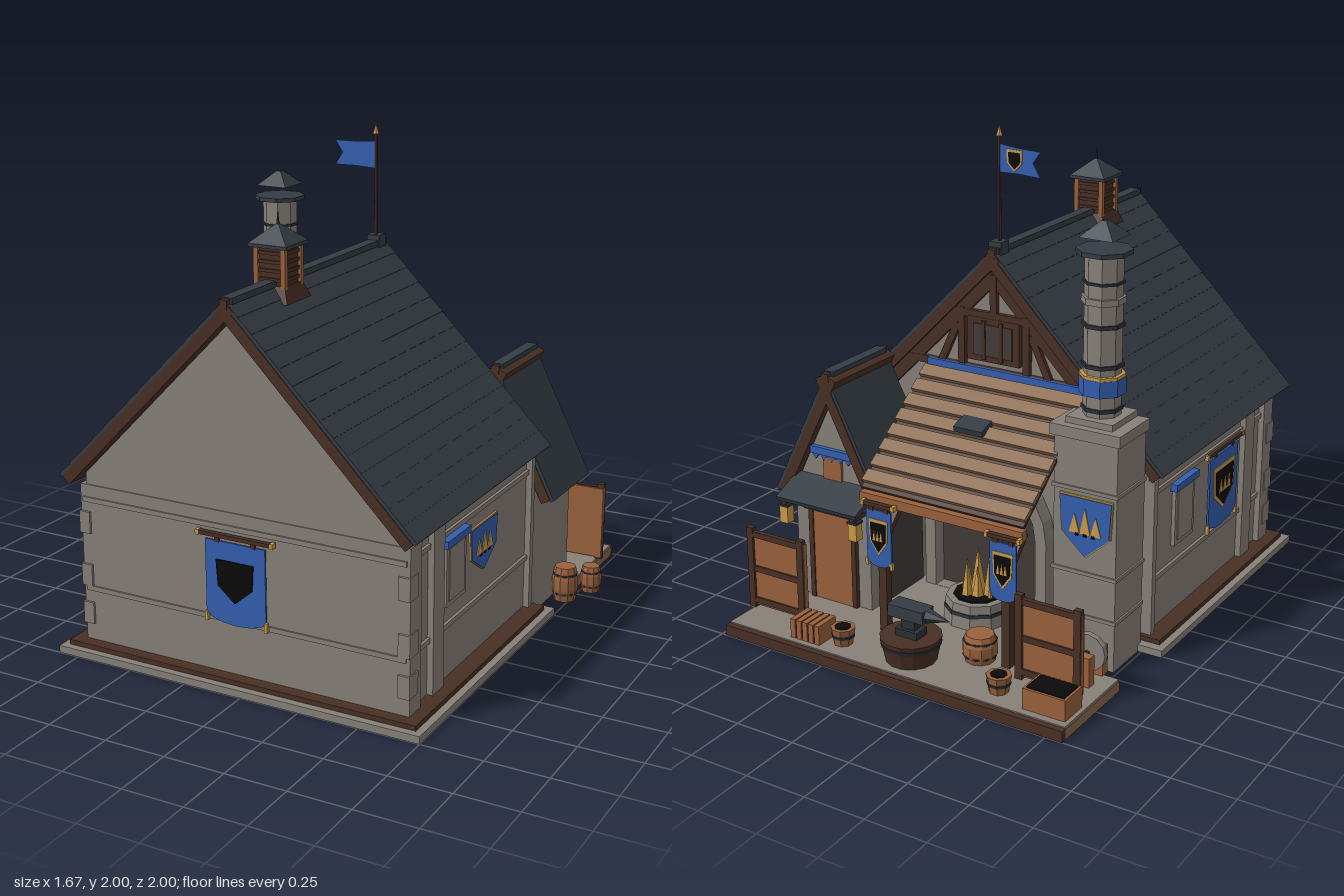
import * as THREE from 'three';

const mat = (name, hex) => { const m = new THREE.MeshStandardMaterial({ color: hex }); m.name = name; return m; };
const M = {
  stone: mat('stone', 0x878079), slate: mat('slate', 0x343c43), timber: mat('dark timber', 0x482f24),
  wood: mat('orange wood', 0x99613c), plank: mat('plank', 0x8a694c), blue: mat('blue cloth', 0x335eae),
  gold: mat('gold', 0xc99a48), black: mat('black', 0x0a0a0b), iron: mat('iron', 0x2b3036), recess: mat('sooty stone', 0x413b38),
};

// Faceted mesh with a name and a transform
function add(parent, name, geo, m, x = 0, y = 0, z = 0, rx = 0, ry = 0, rz = 0) {
  const g = geo.index ? geo.toNonIndexed() : geo;
  g.computeVertexNormals();
  const mesh = new THREE.Mesh(g, m);
  mesh.name = name;
  mesh.position.set(x, y, z);
  mesh.rotation.set(rx, ry, rz);
  parent.add(mesh);
  return mesh;
}
const box = (p, name, m, [x0, x1], [y0, y1], [z0, z1]) =>
  add(p, name, new THREE.BoxGeometry(x1 - x0, y1 - y0, z1 - z0), m, (x0 + x1) / 2, (y0 + y1) / 2, (z0 + z1) / 2);
const cyl = (p, name, m, r0, r1, y0, y1, x, z, n = 8) =>
  add(p, name, new THREE.CylinderGeometry(r1, r0, y1 - y0, n), m, x, (y0 + y1) / 2, z, 0, Math.PI / n);
const shapeOf = pts => new THREE.Shape(pts.map(p => new THREE.Vector2(...p)));
const plate = (p, name, m, pts, depth, x = 0, y = 0, z = 0) =>
  add(p, name, new THREE.ExtrudeGeometry(shapeOf(pts), { depth, bevelEnabled: false }), m, x, y, z);
function sub(parent, name, x = 0, y = 0, z = 0, ry = 0) {
  const g = new THREE.Group();
  g.name = name; g.position.set(x, y, z); g.rotation.y = ry;
  parent.add(g);
  return g;
}
// Beam between two points of an upright plane at depth z
function strut(p, name, m, x0, y0, x1, y1, z, w = 0.03, d = 0.02) {
  add(p, name, new THREE.BoxGeometry(Math.hypot(x1 - x0, y1 - y0), w, d), m, (x0 + x1) / 2, (y0 + y1) / 2, z, 0, 0, Math.atan2(y1 - y0, x1 - x0));
}

// Pitched roof: timber deck with thin overlapping slate rows on both slopes
function gableRoof(root, name, cx, ridgeY, half, drop, z0, z1, rows) {
  const len = Math.abs(z1 - z0), L = Math.hypot(half, drop), roof = sub(root, name, cx, ridgeY, (z0 + z1) / 2);
  for (const ry of [0, Math.PI]) {
    const side = sub(roof, 'roofSide', 0, 0, 0, ry);
    const slope = sub(side, 'slope');
    slope.rotation.z = -Math.atan2(drop, half);
    box(slope, 'roofDeck', M.timber, [0, L - 0.005], [-0.055, -0.012], [-len / 2, len / 2]);
    for (let i = 0; i < rows; i++)
      add(slope, 'slateRow', new THREE.BoxGeometry(L / rows * 1.04, 0.016, len - 0.006), M.slate, (i + 0.5) * L / rows, -0.006, 0, 0, 0, 0.03);
  }
  box(roof, 'ridgeBeam', M.timber, [-0.016, 0.016], [-0.03, 0.004], [-len / 2 - 0.003, len / 2 + 0.003]);
  box(roof, 'ridgeCap', M.slate, [-0.024, 0.024], [-0.016, 0.008], [-len / 2 + 0.02, len / 2 - 0.02]);
}

const shieldPts = (w, h) => [[-w / 2, h / 2], [-w * 0.46, -h * 0.12], [0, -h / 2], [w * 0.46, -h * 0.12], [w / 2, h / 2]];
function shield(root, x, y, z, ry, w, h) {
  const g = sub(root, 'wallShield', x, y, z, ry);
  plate(g, 'shieldTrim', M.gold, shieldPts(w, h), 0.008);
  plate(g, 'shieldFace', M.blue, shieldPts(w * 0.96, h * 0.95), 0.012);
  for (const [px, s] of [[-0.2, 0.75], [0, 1], [0.2, 0.75]])
    plate(g, 'shieldPeak', M.gold, [[-w * 0.1, 0], [w * 0.1, 0], [0, h * 0.42 * s]], 0.004, px * w, -h * 0.1, 0.012);
  for (const px of [-0.15, 0, 0.15]) box(g, 'shieldStud', M.black, [px * w - 0.007, px * w + 0.007], [-h * 0.14, -h * 0.09], [0.01, 0.017]);
}
// Hanging banner, local origin at the middle of its top edge
function banner(root, x, y, z, ry, w, h, goldTrim) {
  const g = sub(root, 'banner', x, y, z, ry), pts = [[w / 2, 0], [-w / 2, 0]];
  for (let i = 0; i <= 6; i++) { const a = Math.PI * i / 6; pts.push([-Math.cos(a) * w / 2, -h * 0.87 - Math.sin(a) * h * 0.13]); }
  plate(g, 'bannerCloth', M.blue, pts, 0.008);
  if (goldTrim) plate(g, 'emblemTrim', M.gold, shieldPts(w * 0.76, h * 0.62), 0.003, 0, -h * 0.47, 0.008);
  plate(g, 'emblem', M.black, shieldPts(w * 0.62, h * 0.5), 0.007, 0, -h * 0.47, 0.008);
  if (goldTrim) for (const s of [-0.14, 0, 0.14]) plate(g, 'emblemPeak', M.gold, [[-w * 0.06, 0], [w * 0.06, 0], [0, h * 0.18]], 0.003, s * w, -h * 0.52, 0.015);
  box(g, 'bannerRod', M.timber, [-w * 0.6, w * 0.6], [0.015, 0.03], [-0.005, 0.015]);
  for (const s of [-1, 1]) {
    box(g, 'rodEnd', M.gold, [s * w * 0.62 - 0.007, s * w * 0.62 + 0.007], [0.012, 0.033], [-0.007, 0.017]);
    box(g, 'tassel', M.gold, [s * w / 2 - 0.006, s * w / 2 + 0.006], [-h, -h * 0.88], [-0.002, 0.012]);
    box(g, 'bannerLoop', M.timber, [s * w * 0.3 - 0.01, s * w * 0.3 + 0.01], [-0.005, 0.03], [-0.001, 0.01]);
  }
}
function barrel(root, x, y, z, r, h) {
  const g = sub(root, 'barrel', x, y, z);
  add(g, 'staves', new THREE.LatheGeometry([[0, 0], [0.84, 0], [1, 0.35], [1, 0.65], [0.8, 1], [0, 1]].map(([a, b]) => new THREE.Vector2(a * r, b * h)), 10), M.wood);
  for (const t of [0.2, 0.75]) cyl(g, 'hoop', M.iron, r * 0.97, r * 0.97, h * t, h * (t + 0.06), 0, 0, 10);
}
function bucket(root, x, z) {
  cyl(root, 'bucket', M.wood, 0.038, 0.05, 0.05, 0.12, x, z);
  cyl(root, 'bucketHoop', M.iron, 0.046, 0.048, 0.08, 0.092, x, z);
  cyl(root, 'bucketInside', M.black, 0.033, 0.033, 0.118, 0.123, x, z);
}
function screen(root, x0, x1, z) {
  box(root, 'screenPanel', M.wood, [x0, x1], [0.06, 0.38], [z - 0.008, z + 0.012]);
  for (const x of [x0, x1 - 0.03]) box(root, 'screenPost', M.timber, [x, x + 0.03], [0.05, 0.4], [z - 0.018, z + 0.006]);
  for (const y of [0.07, 0.21, 0.36]) box(root, 'screenRail', M.timber, [x0, x1], [y, y + 0.025], [z - 0.016, z + 0.004]);
}
function sideWindow(root, x, z) {
  box(root, 'windowNiche', M.stone, [x - 0.014, x + 0.014], [0.35, 0.6], [z - 0.085, z + 0.085]);
  box(root, 'windowPanel', M.stone, [x - 0.018, x + 0.018], [0.37, 0.58], [z - 0.065, z + 0.065]);
  box(root, 'windowLintel', M.blue, [x - 0.027, x + 0.027], [0.59, 0.62], [z - 0.1, z + 0.1]);
}
// Outline of a round-headed opening
function arch(r, foot, spring) {
  const p = [[r, foot]];
  for (let i = 0; i <= 10; i++) p.push([r * Math.cos(Math.PI * i / 10), spring + r * Math.sin(Math.PI * i / 10)]);
  return [...p, [-r, foot]];
}

export function createModel() {
  const root = new THREE.Group();
  root.name = 'smithy';
  const C = -0.045;

  // Plinth, main walls with gables, string courses, pilasters and quoins
  box(root, 'plinth', M.stone, [-0.84, 0.75], [0, 0.03], [-0.26, 1]);
  box(root, 'sill', M.timber, [-0.81, 0.72], [0.03, 0.05], [-0.22, 0.97]);
  plate(root, 'mainWalls', M.stone, [[-0.735, 0.04], [0.645, 0.04], [0.645, 0.75], [C, 1.445], [-0.735, 0.75]], 1.115, 0, 0, -0.2);
  for (const y of [0.26, 0.63]) box(root, 'stringCourse', M.stone, [-0.747, 0.657], [y, y + 0.02], [-0.17, 0.927]);
  for (const [z0, z1] of [[0.83, 0.92], [0.64, 0.73], [-0.2, -0.17]])
    box(root, 'pilasters', M.stone, [-0.76, 0.67], [0.05, 0.7], [z0, z1]);
  for (const x of [-0.74, 0.65]) for (const y of [0.12, 0.28, 0.5])
    box(root, 'quoin', M.stone, [x - 0.024, x + 0.024], [y, y + 0.09], [0.86, 0.93]);

  // Main roof, louvred ridge turret and flagpole
  gableRoof(root, 'mainRoof', C, 1.522, 0.765, 0.775, -0.235, 0.98, 14);
  const t = sub(root, 'ridgeTurret', C, 0, 0.6);
  add(t, 'turretSkirt', new THREE.CylinderGeometry(0.09, 0.125, 0.06, 4, 1, false, Math.PI / 4), M.timber, 0, 1.48, 0);
  box(t, 'turretBody', M.timber, [-0.055, 0.055], [1.45, 1.66], [-0.055, 0.055]);
  for (const x of [-0.058, 0.058]) for (const z of [-0.058, 0.058]) box(t, 'turretPost', M.wood, [x - 0.01, x + 0.01], [1.5, 1.66], [z - 0.01, z + 0.01]);
  for (let i = 0; i < 4; i++) box(t, 'louvre', M.timber, [-0.062, 0.062], [1.525 + i * 0.033, 1.538 + i * 0.033], [-0.062, 0.062]);
  box(t, 'turretEave', M.slate, [-0.083, 0.083], [1.652, 1.665], [-0.083, 0.083]);
  add(t, 'turretRoof', new THREE.ConeGeometry(0.115, 0.07, 4, 1, false, Math.PI / 4), M.slate, 0, 1.7, 0);
  cyl(t, 'turretFinial', M.iron, 0.008, 0.001, 1.715, 1.785, 0, 0, 6);
  box(root, 'poleFoot', M.slate, [C - 0.028, C + 0.028], [1.5, 1.55], [-0.205, -0.145]);
  cyl(root, 'flagPole', M.timber, 0.008, 0.007, 1.5, 1.97, C, -0.17, 6);
  cyl(root, 'poleTip', M.gold, 0.014, 0.001, 1.96, 2, C, -0.17, 6);
  const flag = sub(root, 'flag', C, 1.82, -0.17, -0.09);
  plate(flag, 'flagCloth', M.blue, [[0, 0], [0, 0.11], [-0.1, 0.102], [-0.195, 0.1], [-0.16, 0.052], [-0.195, 0], [-0.1, 0.003]], 0.006, 0, 0, -0.003);
  plate(flag, 'flagEmblemTrim', M.gold, shieldPts(0.075, 0.085), 0.003, -0.075, 0.052, -0.006);
  plate(flag, 'flagEmblem', M.black, shieldPts(0.056, 0.064), 0.003, -0.075, 0.052, -0.008);

  // Half-timbered rear gable with shutter
  for (const s of [-1, 1]) {
    strut(root, 'gableRafter', M.timber, C, 1.41, C + s * 0.6, 0.8, -0.208, 0.05);
    strut(root, 'gableBrace', M.timber, C + s * 0.3, 0.92, C + s * 0.17, 1.2, -0.208);
    strut(root, 'gablePost', M.timber, C + s * 0.15, 0.9, C + s * 0.15, 1.27, -0.21);
  }
  strut(root, 'collarBeam', M.timber, -0.24, 1.25, 0.15, 1.25, -0.21);
  strut(root, 'tieBeam', M.timber, -0.45, 1.02, 0.36, 1.02, -0.21);
  strut(root, 'kingPost', M.timber, C, 1.25, C, 1.42, -0.21);
  box(root, 'shutterFrame', M.timber, [C - 0.12, C + 0.12], [1.06, 1.24], [-0.222, -0.2]);
  box(root, 'shutterOpening', M.recess, [C - 0.09, C + 0.09], [1.085, 1.215], [-0.227, -0.2]);
  for (const x of [-0.04, 0.04]) box(root, 'shutterBar', M.timber, [C + x - 0.008, C + x + 0.008], [1.07, 1.23], [-0.231, -0.21]);

  // Side windows, shields and banners
  sideWindow(root, 0.647, 0.52);
  sideWindow(root, -0.737, 0.09);
  shield(root, 0.655, 0.485, 0.28, Math.PI / 2, 0.25, 0.2);
  banner(root, C, 0.59, 0.935, 0, 0.26, 0.33, false);
  banner(root, -0.745, 0.61, 0.45, -Math.PI / 2, 0.27, 0.33, true);

  // Annex with its own gable, door and awning
  const A = 0.47;
  plate(root, 'annexWalls', M.stone, [[0.3, 0], [0.665, 0], [0.665, 0.52], [A, 0.92], [0.3, 0.56]], 0.42, 0, 0, -0.6);
  gableRoof(root, 'annexRoof', A, 1.042, 0.268, 0.535, -0.635, -0.235, 8);
  box(root, 'annexDoor', M.wood, [0.38, 0.57], [0.05, 0.44], [-0.615, -0.59]);
  for (const x of [0.36, 0.57]) box(root, 'doorPost', M.timber, [x, x + 0.022], [0.05, 0.46], [-0.62, -0.59]);
  box(root, 'doorLintel', M.timber, [0.34, 0.61], [0.44, 0.47], [-0.625, -0.59]);
  add(root, 'awning', new THREE.BoxGeometry(0.39, 0.02, 0.16), M.slate, 0.455, 0.55, -0.672, -0.4);
  for (const x of [0.29, 0.63]) {
    box(root, 'awningBracket', M.timber, [x - 0.01, x + 0.01], [0.49, 0.51], [-0.73, -0.6]);
    box(root, 'lantern', M.gold, [x - 0.02, x + 0.02], [0.41, 0.48], [-0.73, -0.69]);
    box(root, 'lanternCap', M.iron, [x - 0.023, x + 0.023], [0.48, 0.49], [-0.733, -0.687]);
  }
  box(root, 'gableTrim', M.blue, [0.37, 0.57], [0.69, 0.72], [-0.62, -0.6]);
  for (let i = 0; i < 5; i++) plate(root, 'trimPennant', M.blue, [[-0.02, 0], [0, -0.025], [0.02, 0]], 0.008, 0.39 + i * 0.04, 0.69, -0.612);
  box(root, 'gableWindow', M.wood, [0.425, 0.515], [0.57, 0.68], [-0.61, -0.59]);

  // Chimney: stepped base, octagonal shaft, rings and cowl
  box(root, 'chimneyBase', M.stone, [-0.735, -0.465], [0, 0.93], [-0.46, -0.237]);
  for (const y of [0.2, 0.38, 0.72]) box(root, 'chimneyCourse', M.stone, [-0.742, -0.458], [y, y + 0.015], [-0.467, -0.237]);
  box(root, 'chimneyShoulder', M.stone, [-0.75, -0.45], [0.93, 0.975], [-0.475, -0.237]);
  box(root, 'chimneyStep', M.stone, [-0.7, -0.5], [0.97, 1], [-0.44, -0.24]);
  for (const [n, m, r, y0, y1] of [['shaft', M.stone, 0.073, 0.99, 1.62], ['lowerRing', M.iron, 0.08, 1.02, 1.035], ['blueBand', M.blue, 0.09, 1.085, 1.15],
    ['goldBand', M.gold, 0.088, 1.15, 1.163], ['middleRing', M.iron, 0.081, 1.19, 1.205], ['upperRing', M.iron, 0.081, 1.345, 1.36],
    ['stoneRing', M.stone, 0.085, 1.435, 1.46], ['topRing', M.iron, 0.08, 1.51, 1.52], ['shaftCap', M.slate, 0.107, 1.62, 1.637]])
    cyl(root, n, m, r, r, y0, y1, -0.6, -0.34);
  cyl(root, 'cowl', M.slate, 0.1, 0.015, 1.682, 1.74, -0.6, -0.34, 4);
  shield(root, -0.61, 0.58, -0.462, Math.PI, 0.23, 0.25);

  // Yard deck and lean-to of spaced planks over a dark deck
  box(root, 'yardDeck', M.plank, [-0.82, 0.73], [0, 0.04], [-0.975, -0.57]);
  box(root, 'yardKerb', M.timber, [-0.82, 0.73], [0, 0.045], [-1, -0.975]);
  box(root, 'yardPaving', M.stone, [-0.817, 0.727], [0.04, 0.05], [-0.975, -0.572]);
  box(root, 'forgeFloor', M.stone, [-0.47, 0.31], [0.005, 0.05], [-0.575, -0.2]);
  add(root, 'leanToDeck', new THREE.BoxGeometry(0.735, 0.015, 0.58), M.timber, -0.11, 0.815, -0.47, -0.664);
  for (let i = 0; i < 8; i++) {
    const k = (i + 0.5) / 8;
    add(root, 'roofPlank', new THREE.BoxGeometry(0.74, 0.018, 0.054), M.plank, -0.11, 1.015 - 0.36 * k, -0.24 - 0.46 * k, -0.6);
  }
  add(root, 'smokeHatch', new THREE.BoxGeometry(0.13, 0.025, 0.11), M.slate, -0.09, 0.88, -0.425, -0.3);
  box(root, 'blueFlashing', M.blue, [-0.47, 0.26], [1.005, 1.035], [-0.233, -0.2]);
  box(root, 'eaveBeam', M.wood, [-0.48, 0.26], [0.585, 0.625], [-0.715, -0.68]);
  for (const x of [-0.41, 0.155]) {
    box(root, 'porchPost', M.timber, [x - 0.018, x + 0.018], [0.05, 0.6], [-0.72, -0.685]);
    add(root, 'postBrace', new THREE.BoxGeometry(0.025, 0.025, 0.16), M.timber, x, 0.5, -0.64, -0.8);
    banner(root, x, 0.575, -0.73, Math.PI, 0.115, 0.24, true);
  }

  // Forge arch, side arch and fire pit
  const F = -0.03;
  const ring = shapeOf(arch(0.29, 0.05, 0.36));
  ring.holes.push(new THREE.Path(arch(0.24, 0.051, 0.36).map(p => new THREE.Vector2(...p))));
  add(root, 'forgeArch', new THREE.ExtrudeGeometry(ring, { depth: 0.07, bevelEnabled: false }), M.stone, F, 0, -0.27);
  plate(root, 'forgeRecess', M.recess, arch(0.25, 0.05, 0.36), 0.008, F, 0, -0.21);
  const sideArch = sub(root, 'sideArch', 0.3, 0, -0.37, -Math.PI / 2);
  plate(sideArch, 'sideRecess', M.recess, arch(0.13, 0.05, 0.32), 0.006);
  cyl(root, 'firePit', M.stone, 0.14, 0.13, 0.05, 0.15, -0.09, -0.41, 10);
  cyl(root, 'pitBand', M.iron, 0.139, 0.137, 0.1, 0.115, -0.09, -0.41, 10);
  cyl(root, 'coals', M.black, 0.1, 0.1, 0.15, 0.157, -0.09, -0.41, 10);
  for (let i = 0; i < 6; i++) {
    const a = i * Math.PI / 3;
    add(root, 'flame', new THREE.ConeGeometry(0.025, 0.13 + 0.05 * (i % 2), 5), M.gold, -0.09 + 0.05 * Math.cos(a), 0.23, -0.41 + 0.05 * Math.sin(a));
  }
  add(root, 'flameCore', new THREE.ConeGeometry(0.035, 0.21, 5), M.gold, -0.09, 0.255, -0.41);

  // Anvil on a round block
  cyl(root, 'anvilBlock', M.timber, 0.1, 0.122, 0.05, 0.15, -0.06, -0.84, 14);
  cyl(root, 'blockHoop', M.iron, 0.117, 0.121, 0.115, 0.13, -0.06, -0.84, 14);
  box(root, 'anvilFoot', M.iron, [-0.11, -0.01], [0.15, 0.18], [-0.875, -0.805]);
  box(root, 'anvilWaist', M.iron, [-0.09, -0.03], [0.18, 0.23], [-0.86, -0.82]);
  box(root, 'anvilFace', M.slate, [-0.14, 0.02], [0.225, 0.275], [-0.878, -0.802]);
  add(root, 'anvilHorn', new THREE.ConeGeometry(0.03, 0.1, 6), M.slate, -0.19, 0.25, -0.84, 0, 0, Math.PI / 2);

  // Yard furniture
  screen(root, 0.47, 0.75, -0.805);
  screen(root, -0.76, -0.48, -0.75);
  bucket(root, -0.48, -0.88);
  bucket(root, 0.235, -0.88);
  barrel(root, -0.29, 0.05, -0.71, 0.07, 0.11);
  barrel(root, 0.725, 0, -0.435, 0.055, 0.15);
  barrel(root, 0.79, 0, -0.57, 0.045, 0.115);
  box(root, 'coalBin', M.wood, [-0.8, -0.62], [0.05, 0.135], [-0.945, -0.82]);
  box(root, 'coal', M.black, [-0.79, -0.63], [0.13, 0.139], [-0.935, -0.83]);
  box(root, 'crateCore', M.timber, [0.305, 0.435], [0.05, 0.12], [-0.945, -0.845]);
  for (let i = 0; i < 5; i++) box(root, 'crateSlat', M.wood, [0.3 + i * 0.029, 0.323 + i * 0.029], [0.05, 0.13], [-0.95, -0.84]);
  for (const z of [-0.67, -0.565]) box(root, 'grindstoneStand', M.wood, [-0.755, -0.67], [0.05, 0.17], [z - 0.02, z + 0.02]);
  add(root, 'grindstone', new THREE.CylinderGeometry(0.075, 0.075, 0.025, 12), M.stone, -0.713, 0.16, -0.617, Math.PI / 2);
  add(root, 'grindstoneAxle', new THREE.CylinderGeometry(0.01, 0.01, 0.15, 6), M.iron, -0.713, 0.16, -0.617, Math.PI / 2);
  return root;
}
